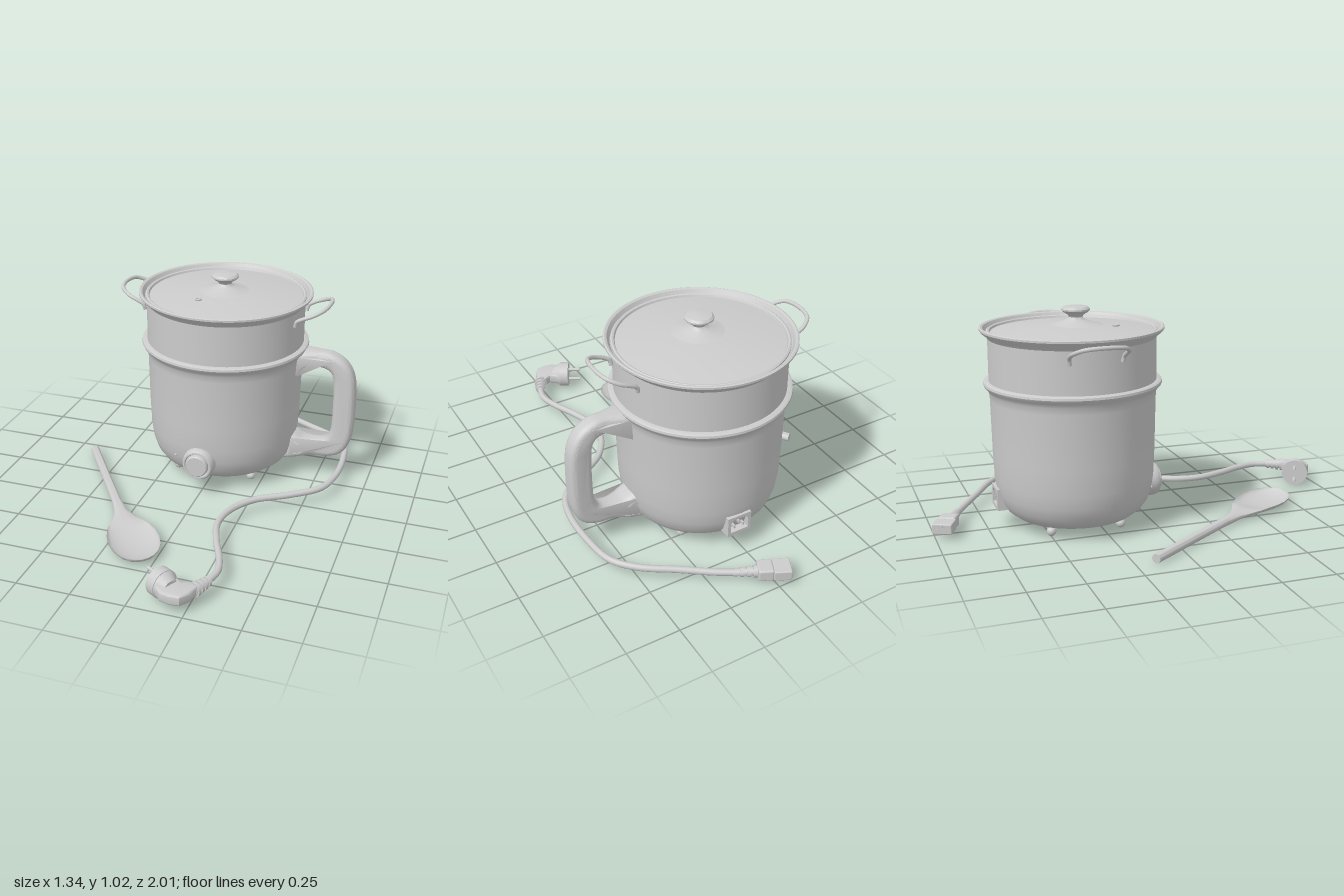
import * as THREE from 'three';
import { toCreasedNormals } from 'three/addons/utils/BufferGeometryUtils.js';
import { RoundedBoxGeometry } from 'three/addons/geometries/RoundedBoxGeometry.js';

const V = (x, y, z) => new THREE.Vector3(x, y, z);
const CX = 0.007, CZ = -0.333; // axis of the pot

export function createModel() {
  const model = new THREE.Group();
  const material = new THREE.MeshStandardMaterial({ color: 0xcccccc, side: THREE.DoubleSide });

  const add = (name, geometry, parent = model, x = 0, y = 0, z = 0) => {
    const mesh = new THREE.Mesh(geometry, material);
    mesh.name = name;
    mesh.position.set(x, y, z);
    parent.add(mesh);
    return mesh;
  };
  const lathe = (points, segments = 80) => toCreasedNormals(
    new THREE.LatheGeometry(points.map(([r, y]) => new THREE.Vector2(r, y)), segments), 0.6);
  const tube = (points, radius, segments) =>
    new THREE.TubeGeometry(new THREE.CatmullRomCurve3(points), segments, radius, 10);
  // Cylinder from a to b
  const rod = (name, a, b, r1, r2 = r1, parent = model) => {
    const dir = b.clone().sub(a);
    const mesh = add(name, new THREE.CylinderGeometry(r2, r1, dir.length(), 24), parent);
    mesh.position.copy(a).add(b).multiplyScalar(0.5);
    mesh.quaternion.setFromUnitVectors(V(0, 1, 0), dir.normalize());
    return mesh;
  };
  // Tapered sleeve with ribs from a to b
  const strainRelief = (a, b, r1, r2) => {
    const group = new THREE.Group();
    group.name = 'strainRelief';
    rod('sleeve', a, b, r1 * 0.75, r2 * 0.75, group);
    for (let i = 0; i < 4; i++) {
      const r = r1 + (r2 - r1) * i / 3;
      rod('rib', a.clone().lerp(b, i / 4 + 0.03), a.clone().lerp(b, i / 4 + 0.18), r, r, group);
    }
    model.add(group);
  };

  // Pot
  const pot = new THREE.Group();
  pot.name = 'pot';
  pot.position.set(CX, 0, CZ);
  model.add(pot);

  add('body', lathe([[0, 0.022], [0.15, 0.026], [0.24, 0.037], [0.285, 0.053], [0.32, 0.08],
    [0.345, 0.115], [0.362, 0.165], [0.371, 0.23], [0.376, 0.35], [0.381, 0.6], [0.384, 0.632],
    [0.394, 0.65], [0.405, 0.66], [0.41, 0.67], [0.408, 0.68], [0.4, 0.685], [0.375, 0.685]]), pot);
  add('steamer', lathe([[0.375, 0.67], [0.384, 0.68], [0.384, 0.88], [0.392, 0.891], [0.413, 0.908],
    [0.421, 0.918], [0.421, 0.927], [0.414, 0.93], [0.404, 0.926], [0.392, 0.905], [0.375, 0.9]]), pot);
  add('lid', lathe([[0.389, 0.9], [0.389, 0.912], [0.382, 0.916], [0.374, 0.913], [0.37, 0.904],
    [0.3, 0.914], [0.2, 0.925], [0.13, 0.931], [0, 0.938]]), pot);
  add('lidKnob', lathe([[0.13, 0.929], [0.085, 0.938], [0.05, 0.951], [0.036, 0.958], [0.031, 0.966],
    [0.036, 0.975], [0.055, 0.987], [0.065, 0.996], [0.065, 1.003], [0.056, 1.012], [0.03, 1.016],
    [0, 1.017]], 48), pot, 0, 0, 0.018);
  add('steamVent', new THREE.TorusGeometry(0.012, 0.005, 8, 20).rotateX(Math.PI / 2),
    pot, -0.08, 0.93, 0.183);
  for (const sx of [-1, 1]) for (const sz of [-1, 1])
    add('foot', new THREE.SphereGeometry(0.022, 20, 14), pot, sx * 0.19, 0.023, sz * 0.165);

  // Wire loops on the steamer
  for (const s of [-1, 1]) {
    const half = [[0.375, 0.822, 0.118], [0.382, 0.848, 0.122], [0.41, 0.866, 0.125],
      [0.455, 0.885, 0.12], [0.498, 0.905, 0.09], [0.514, 0.912, 0.04]];
    const path = [...half, ...half.slice().reverse().map(([x, y, z]) => [x, y, -z])];
    add('steamerHandle', tube(path.map(([x, y, z]) => V(s * x, y, z)), 0.0095, 70), pot);
  }

  // Grip handle, widened where it meets the body
  const grip = new THREE.Shape();
  const v2 = list => list.map(([x, y]) => new THREE.Vector2(x, y));
  grip.moveTo(0.33, 0.675);
  grip.splineThru(v2([[0.4, 0.674], [0.47, 0.674], [0.54, 0.668], [0.605, 0.632], [0.645, 0.57], [0.66, 0.48],
    [0.66, 0.3], [0.645, 0.205], [0.605, 0.145], [0.54, 0.12], [0.46, 0.115], [0.39, 0.098], [0.33, 0.085]]));
  grip.lineTo(0.35, 0.235);
  grip.splineThru(v2([[0.38, 0.22], [0.42, 0.203], [0.48, 0.203], [0.525, 0.218], [0.548, 0.26], [0.555, 0.33],
    [0.555, 0.48], [0.548, 0.55], [0.525, 0.583], [0.48, 0.594], [0.43, 0.583], [0.395, 0.55], [0.35, 0.5]]));
  const gripGeo = new THREE.ExtrudeGeometry(grip, { depth: 0.03, curveSegments: 50, bevelEnabled: true,
    bevelSize: 0.028, bevelThickness: 0.03, bevelOffset: -0.028, bevelSegments: 6 }).translate(0, 0, -0.015);
  const gp = gripGeo.attributes.position;
  for (let i = 0; i < gp.count; i++) {
    const k = 1 - THREE.MathUtils.smoothstep(gp.getX(i), 0.38, 0.49);
    gp.setZ(i, gp.getZ(i) * (1 + 0.5 * k));
  }
  add('gripHandle', toCreasedNormals(gripGeo, 0.7), pot);

  // Control dial and indicator lamp
  add('controlDial', lathe([[0.079, -0.08], [0.08, 0.005], [0.077, 0.022], [0.07, 0.033], [0.063, 0.034],
    [0.059, 0.026], [0.056, 0.026], [0.054, 0.042], [0.049, 0.046], [0, 0.046]], 48).rotateX(Math.PI / 2),
  pot, -0.014, 0.163, 0.37);
  add('indicatorLamp', new THREE.SphereGeometry(0.007, 12, 8), pot, -0.147, 0.165, 0.331);

  // Power inlet at the back
  const inlet = new THREE.Group();
  inlet.name = 'powerInlet';
  inlet.position.set(0.015, 0.145, -0.37);
  pot.add(inlet);
  const frame = new THREE.Shape(v2([[-0.06, -0.05], [0.06, -0.05], [0.06, 0.05], [-0.06, 0.05]]));
  frame.holes.push(new THREE.Path(v2([[-0.045, -0.033], [-0.045, 0.02], [-0.03, 0.035],
    [0.03, 0.035], [0.045, 0.02], [0.045, -0.033]])));
  add('inletFrame', new THREE.ExtrudeGeometry(frame, { depth: 0.07, bevelEnabled: false }), inlet, 0, 0, -0.008);
  add('inletBack', new THREE.BoxGeometry(0.1, 0.08, 0.01), inlet, 0, 0, 0.045);
  for (const [x, y] of [[-0.023, -0.008], [0, 0.012], [0.023, -0.008]])
    add('inletPin', new THREE.BoxGeometry(0.007, 0.016, 0.05), inlet, x, y, 0.02);

  // Power cord
  add('cord', tube([[0.15, 0.045, -0.866], [0.22, 0.046, -0.825], [0.35, 0.053, -0.74], [0.5, 0.06, -0.645],
    [0.585, 0.066, -0.55], [0.615, 0.07, -0.4], [0.612, 0.07, -0.2], [0.57, 0.07, -0.07], [0.45, 0.068, 0.03],
    [0.3, 0.068, 0.13], [0.22, 0.068, 0.25], [0.2, 0.068, 0.38], [0.24, 0.068, 0.52], [0.295, 0.068, 0.65],
    [0.315, 0.068, 0.74], [0.295, 0.068, 0.83]].map(p => V(...p)), 0.0155, 160), model);

  // Appliance connector
  strainRelief(V(0.055, 0.047, -0.913), V(0.16, 0.045, -0.862), 0.027, 0.018);
  const connector = new THREE.Group();
  connector.name = 'connector';
  connector.position.set(-0.01, 0.05, -0.945);
  connector.rotation.y = -0.44;
  add('connectorBody', new RoundedBoxGeometry(0.07, 0.058, 0.082, 3, 0.01), connector, 0.042, 0, 0);
  add('connectorNose', new RoundedBoxGeometry(0.08, 0.05, 0.092, 2, 0.006), connector, -0.03, 0, 0);
  for (const z of [-0.023, 0, 0.023])
    add('contactSlot', new THREE.BoxGeometry(0.004, 0.016, 0.007), connector, -0.07, z ? -0.006 : 0.01, z);
  model.add(connector);

  // Wall plug
  strainRelief(V(0.262, 0.068, 0.895), V(0.302, 0.068, 0.81), 0.032, 0.024);
  const elbow = new THREE.Shape(v2([[0.105, 0.945], [0.15, 0.985], [0.19, 0.995], [0.235, 0.99],
    [0.265, 0.95], [0.283, 0.89], [0.25, 0.868], [0.21, 0.885], [0.175, 0.86], [0.15, 0.84]]));
  const elbowGeo = new THREE.ExtrudeGeometry(elbow, { depth: 0.03, bevelEnabled: true, bevelSize: 0.01,
    bevelThickness: 0.01, bevelOffset: -0.01, bevelSegments: 3 }).rotateX(Math.PI / 2);
  add('plugElbow', toCreasedNormals(elbowGeo, 0.7), model, 0, 0.083, 0);
  const out = V(-0.867, 0, -0.5), face = V(0.1, 0.07, 0.878);
  const at = d => face.clone().addScaledVector(out, d);
  rod('plugFace', at(-0.045), at(0), 0.065);
  rod('plugShoulder', at(-0.085), at(-0.045), 0.038, 0.062);
  for (const dy of [-0.03, 0.03])
    rod('plugPin', at(-0.01).setY(0.07 + dy), at(0.062).setY(0.07 + dy), 0.008);

  // Spoon: stations of [distance, half width, rim height, depth below, height above]
  const stations = [[0, 0, 0.024, 0, 0], [0, 0.021, 0.024, 0.021, 0.021], [0.3, 0.021, 0.024, 0.021, 0.021],
    [0.55, 0.023, 0.024, 0.021, 0.02], [0.65, 0.034, 0.026, 0.021, 0.016], [0.71, 0.055, 0.03, 0.025, 0.01],
    [0.76, 0.08, 0.036, 0.031, 0], [0.8, 0.096, 0.04, 0.036, -0.018], [0.86, 0.112, 0.042, 0.041, -0.031],
    [0.92, 0.117, 0.042, 0.042, -0.034], [0.98, 0.108, 0.042, 0.041, -0.032], [1.03, 0.086, 0.042, 0.035, -0.025],
    [1.06, 0.06, 0.042, 0.025, -0.015], [1.077, 0.03, 0.042, 0.012, -0.005], [1.083, 0, 0.042, 0, 0]];
  const N = 32, verts = [], index = [];
  stations.forEach(([d, w, c, below, above], s) => {
    for (let i = 0; i < N; i++) {
      const a = i / N * Math.PI * 2, sin = Math.sin(a);
      verts.push(w * Math.cos(a), c + sin * (sin < 0 ? below : above), d);
      if (s) {
        const j = (i + 1) % N, p = (s - 1) * N, q = s * N;
        index.push(p + i, p + j, q + i, p + j, q + j, q + i);
      }
    }
  });
  const spoonGeo = new THREE.BufferGeometry();
  spoonGeo.setAttribute('position', new THREE.Float32BufferAttribute(verts, 3));
  spoonGeo.setIndex(index);
  const spoon = add('spoon', toCreasedNormals(spoonGeo, 0.8), model, -0.65, 0, -0.165);
  spoon.rotation.y = Math.atan2(0.57, 0.82);

  return model;
}
